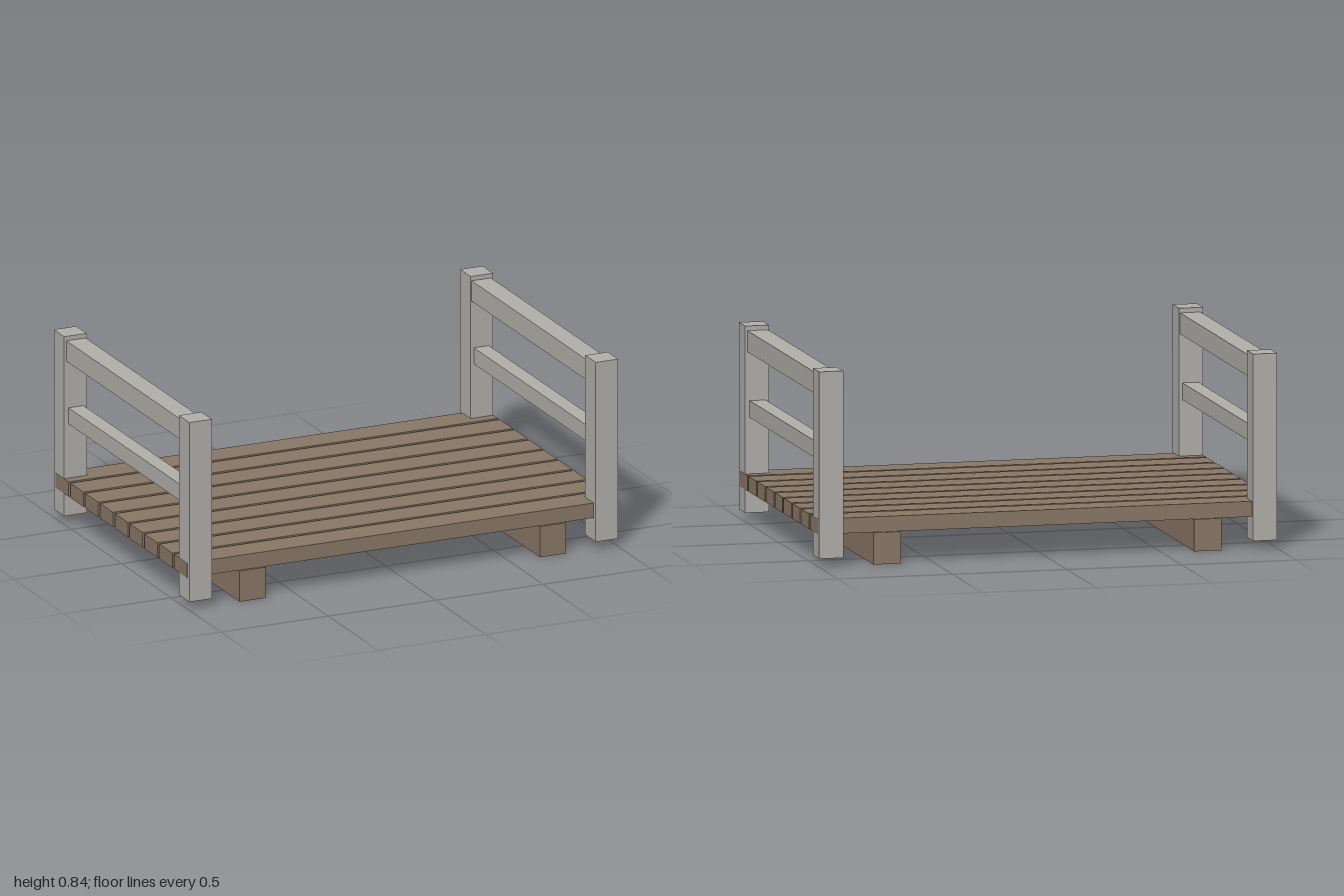
import * as THREE from 'three';

export function createModel() {
  const model = new THREE.Group();
  const brownWood = new THREE.MeshStandardMaterial({ name: 'brownWood', color: 0x897766 });
  const greyWood = new THREE.MeshStandardMaterial({ name: 'greyWood', color: 0xb1afaa });

  // Box from its centre x and z, its bottom and top, and its width and depth
  function addBox(name, material, x, z, bottom, top, width, depth) {
    const mesh = new THREE.Mesh(new THREE.BoxGeometry(width, top - bottom, depth), material);
    mesh.name = name;
    mesh.position.set(x, (bottom + top) / 2, z);
    model.add(mesh);
  }

  // Deck planks, evenly spaced from back to front
  for (let i = -4; i <= 4; i++) {
    addBox('deckPlank', brownWood, 0, i * 0.1485, 0.137, 0.203, 2, 0.131);
  }

  for (const side of [-1, 1]) {
    // Bearer beam under the deck
    addBox('bearerBeam', brownWood, side * 0.7, 0, 0, 0.137, 0.12, 1.338);

    // Corner posts, just inside the plank ends
    for (const end of [-1, 1]) {
      addBox('cornerPost', greyWood, side * 0.9465, end * 0.6275, 0.036, 0.836, 0.105, 0.105);
    }

    // Rails between the posts
    addBox('upperRail', greyWood, side * 0.944, 0, 0.725, 0.816, 0.09, 1.15);
    addBox('lowerRail', greyWood, side * 0.944, 0, 0.444, 0.516, 0.07, 1.15);
  }

  return model;
}
